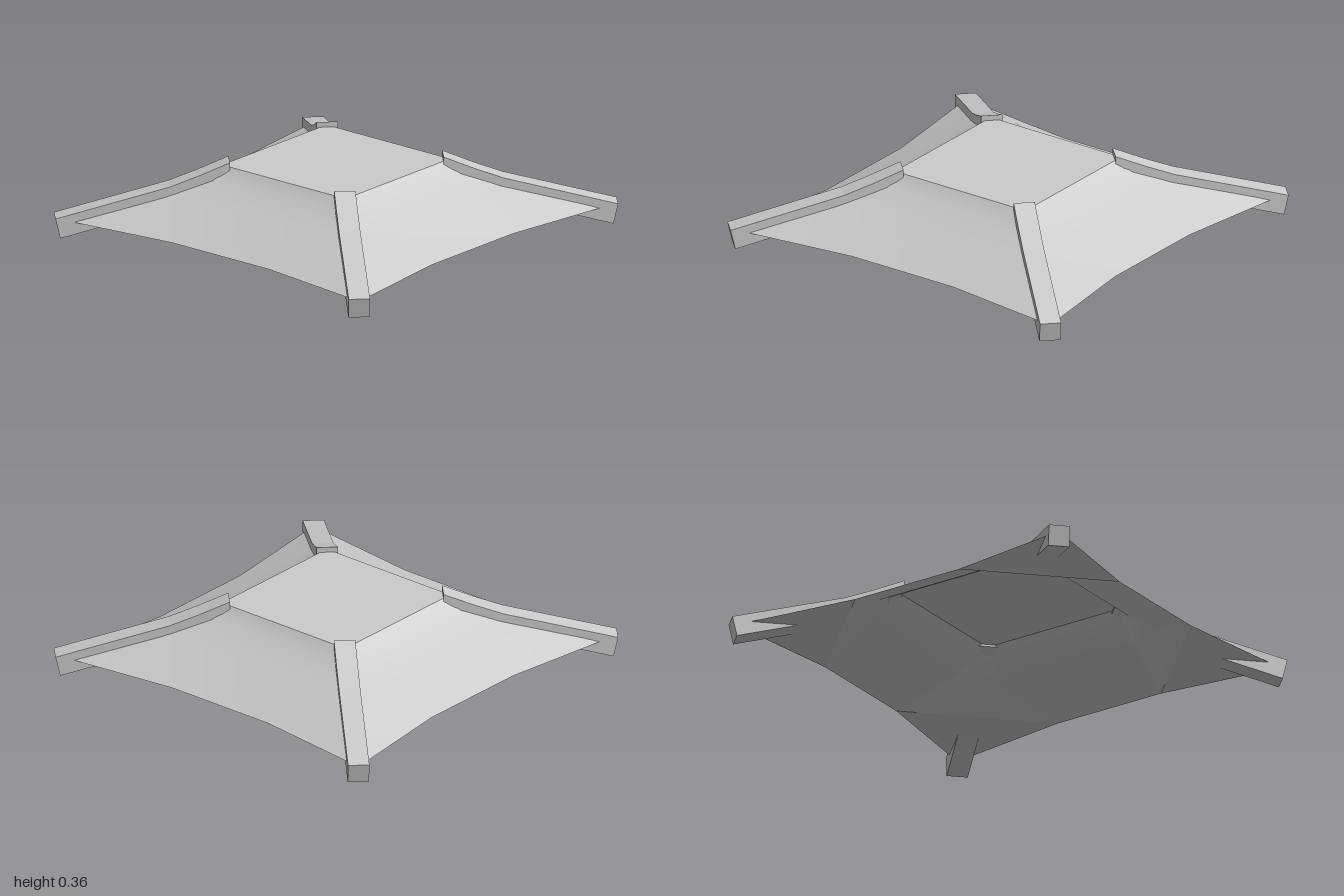
import * as THREE from 'three';

const material = new THREE.MeshStandardMaterial({ color: 0xcccccc });

// Outer cross-sections from top to eave: [corner half width, middle half width, y]
const LEVELS = [
  [0.39, 0.39, 0.335],
  [0.45, 0.445, 0.28],
  [0.60, 0.58, 0.207],
  [0.945, 0.86, 0.08],
];
const EAVE = LEVELS[3];

// Inner eight-sided cross-sections from eave to top: [half side length, distance, y]
const INNER = [
  [0.302, 0.86, 0.08],
  [0.354, 0.58, 0.197],
  [0.378, 0.445, 0.27],
  [0.387, 0.387, 0.326],
];

// Smooth surface through rows of [x, y, z] points
function loft(rows) {
  const n = rows[0].length, index = [];
  for (let i = 0; i < rows.length - 1; i++) {
    for (let j = 0; j < n - 1; j++) {
      const a = i * n + j, b = a + n;
      index.push(a, b, b + 1, a, b + 1, a + 1);
    }
  }
  const geo = new THREE.BufferGeometry();
  geo.setAttribute('position', new THREE.Float32BufferAttribute(rows.flat(2), 3));
  geo.setIndex(index);
  geo.computeVertexNormals();
  return geo;
}

// The four points along one outer side of a level
const sidePoints = ([corner, mid, y]) => [
  [-corner, y, corner], [-corner * 0.32, y, mid], [corner * 0.32, y, mid], [corner, y, corner],
];

// One inner side together with the hip next to it
const innerPoints = ([half, dist, y]) => [[-half, y, dist], [half, y, dist], [dist, y, half]];

// Flat square panel facing up or down
const panel = (half, y, up) =>
  new THREE.PlaneGeometry(half * 2, half * 2).rotateX(up ? -Math.PI / 2 : Math.PI / 2).translate(0, y, 0);

// Curved hip beam; the profile is given as [x = z along the diagonal, y]
function beamGeometry() {
  const width = 0.103;
  const profile = [
    [0.365, 0.315], [0.414, 0.285], [0.467, 0.22], [0.57, 0.145], [0.735, 0.08], [0.945, 0],
    [0.961, 0.1], [0.57, 0.247], [0.47, 0.3], [0.365, 0.362],
  ].map(([c, y]) => new THREE.Vector2(c * Math.SQRT2, y));
  const geo = new THREE.ExtrudeGeometry(new THREE.Shape(profile), { depth: width, bevelEnabled: false });
  return geo.translate(0, 0, -width / 2).rotateY(-Math.PI / 4);
}

export function createModel() {
  const group = new THREE.Group();
  group.name = 'roof';
  const add = (name, geometry, turn = 0) => {
    const mesh = new THREE.Mesh(geometry, material);
    mesh.name = name;
    mesh.rotation.y = turn;
    group.add(mesh);
  };

  add('topPanel', panel(0.39, 0.335, true));
  add('ceiling', panel(0.387, 0.326, false));

  // Slopes, hollow underside and flat eave corners, repeated on four sides
  const slope = loft(LEVELS.map(sidePoints));
  const lining = loft(INNER.map(innerPoints));
  const tip = [EAVE[0], EAVE[2], EAVE[0]];
  const soffit = loft([[tip, tip], innerPoints(INNER[0]).slice(1)]);
  const beam = beamGeometry();
  ['front', 'left', 'back', 'right'].forEach((side, k) => {
    add(side + 'Slope', slope, k * Math.PI / 2);
    add(side + 'Lining', lining, k * Math.PI / 2);
  });
  ['frontLeft', 'backLeft', 'backRight', 'frontRight'].forEach((corner, k) => {
    add(corner + 'Soffit', soffit, k * Math.PI / 2);
    add(corner + 'HipBeam', beam, k * Math.PI / 2);
  });
  return group;
}
